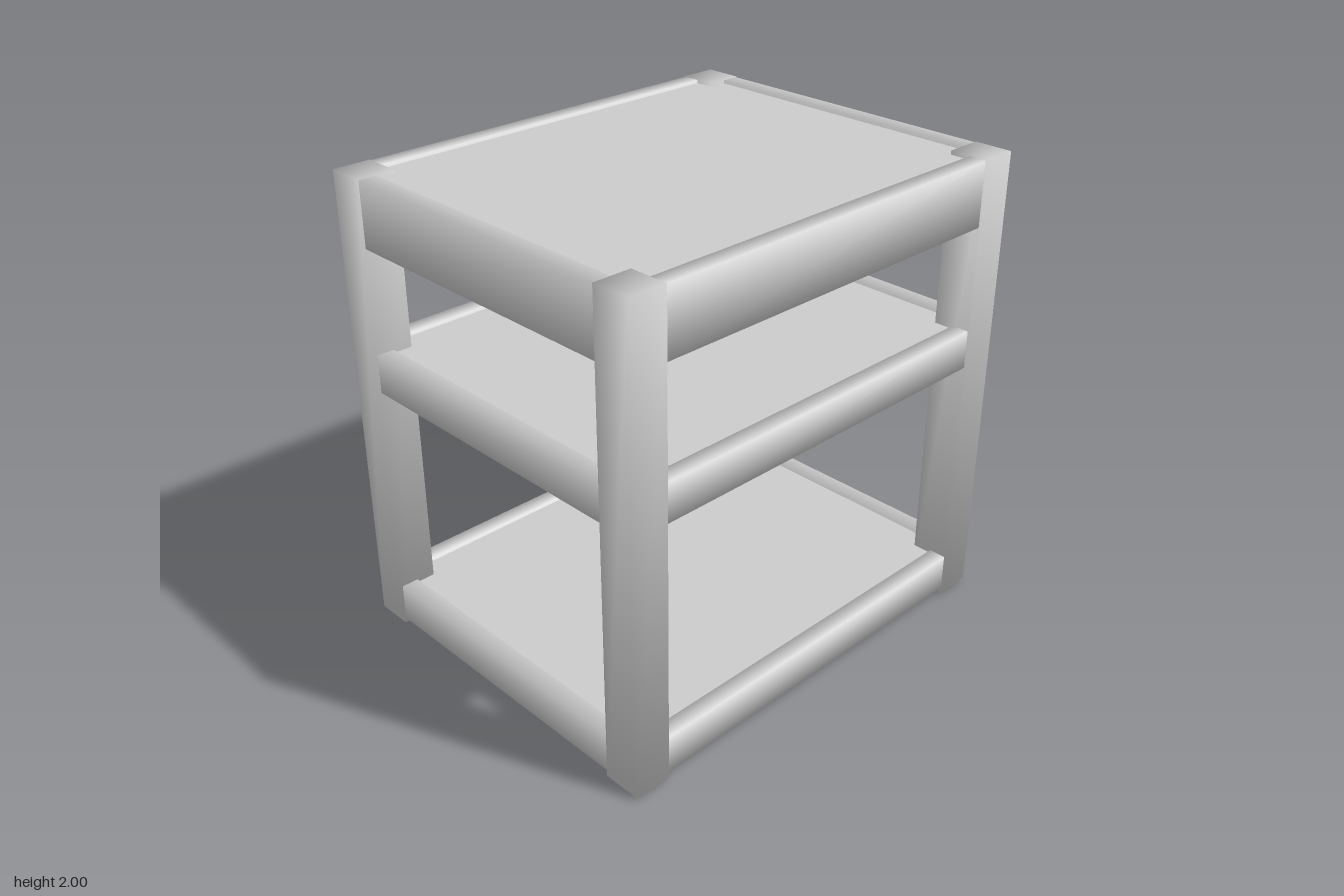
import * as THREE from 'three';

const material = new THREE.MeshStandardMaterial({ color: 0xcccccc });

// Box given by its limits; soft lists the axes along which corner normals spread
function block(name, [x0, x1], [y0, y1], [z0, z1], soft) {
  const geometry = new THREE.BoxGeometry(x1 - x0, y1 - y0, z1 - z0);
  if (soft) {
    const { position, normal } = geometry.attributes;
    const n = new THREE.Vector3();
    for (let i = 0; i < position.count; i++) {
      n.fromBufferAttribute(position, i);
      n.set(Math.sign(n.x), Math.sign(n.y), Math.sign(n.z)).multiply(soft).normalize();
      normal.setXYZ(i, n.x, n.y, n.z);
    }
  }
  const mesh = new THREE.Mesh(geometry, material);
  mesh.name = name;
  mesh.position.set((x0 + x1) / 2, (y0 + y1) / 2, (z0 + z1) / 2);
  return mesh;
}

// Limits of a part on the positive or negative side
const side = (s, inner, outer) => (s > 0 ? [inner, outer] : [-outer, -inner]);

export function createModel() {
  const table = new THREE.Group();
  table.name = 'shelfTable';
  const softAll = new THREE.Vector3(1, 1, 1);
  const softAlongX = new THREE.Vector3(0, 1, 1);
  const softAlongZ = new THREE.Vector3(1, 1, 0);

  // Four square legs, each on a small round glide
  for (const sx of [-1, 1]) {
    for (const sz of [-1, 1]) {
      const leg = new THREE.Group();
      leg.name = `${sz > 0 ? 'front' : 'back'}${sx > 0 ? 'Left' : 'Right'}Leg`;
      const post = block('post', side(sx, 0.833, 0.994), [0.01, 2], side(sz, 0.65, 0.814), softAll);
      const glide = new THREE.Mesh(new THREE.CylinderGeometry(0.06, 0.06, 0.02, 12), material);
      glide.name = 'glide';
      glide.position.set(post.position.x, 0.01, post.position.z);
      leg.add(post, glide);
      table.add(leg);
    }
  }

  // Three levels: a frame of rails around a thin, slightly recessed panel
  const levels = [
    { name: 'bottomShelf', rail: [0.032, 0.196], panel: [0.142, 0.182] },
    { name: 'middleShelf', rail: [1.122, 1.285], panel: [1.231, 1.271] },
    { name: 'tabletop', rail: [1.728, 1.998], panel: [1.944, 1.984] },
  ];
  for (const { name, rail, panel } of levels) {
    const level = new THREE.Group();
    level.name = name;
    for (const s of [-1, 1]) {
      level.add(
        block(s > 0 ? 'frontRail' : 'backRail', [-0.834, 0.834], rail, side(s, 0.735, 0.81), softAlongX),
        block(s > 0 ? 'leftRail' : 'rightRail', side(s, 0.915, 0.99), rail, [-0.652, 0.652], softAlongZ),
      );
    }
    level.add(block('panel', [-0.915, 0.915], panel, [-0.735, 0.735]));
    table.add(level);
  }
  return table;
}
